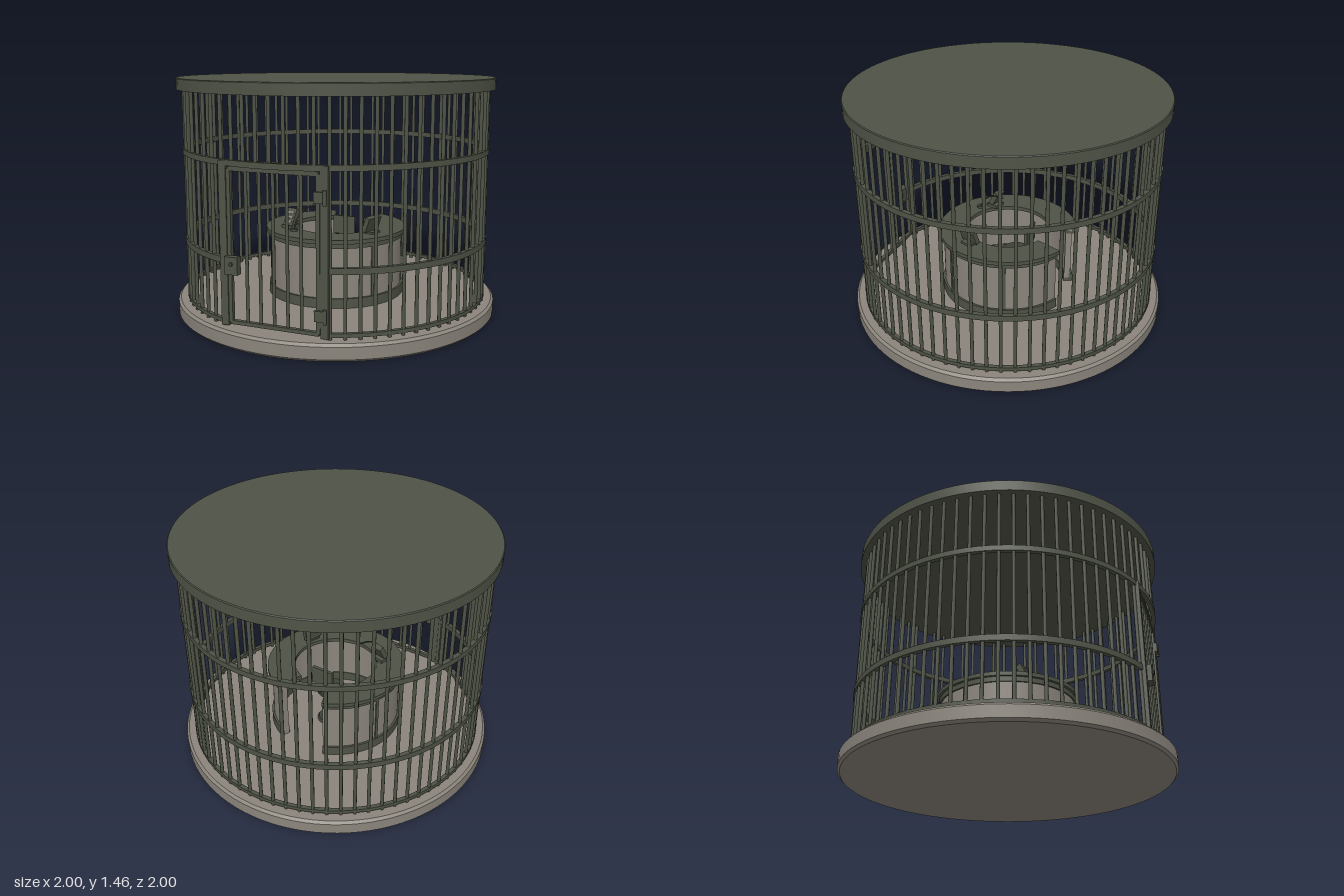
import * as THREE from 'three';
import { toCreasedNormals } from 'three/addons/utils/BufferGeometryUtils.js';

export function createModel() {
  const model = new THREE.Group();
  const material = (name, color) => {
    const m = new THREE.MeshStandardMaterial({ color });
    m.name = name;
    return m;
  };
  const olive = material('olive metal', 0x4f5346);
  const stone = material('warm grey', 0x8b857c);
  const dark = material('dark metal', 0x3d4137);

  const add = (name, geometry, mat, x = 0, y = 0, z = 0, parent = model) => {
    const mesh = new THREE.Mesh(geometry, mat);
    mesh.name = name;
    mesh.position.set(x, y, z);
    parent.add(mesh);
    return mesh;
  };
  const box = (name, w, h, d, mat, x, y, z, parent) =>
    add(name, new THREE.BoxGeometry(w, h, d), mat, x, y, z, parent);
  const lathe = (points, sides = 96) => toCreasedNormals(
    new THREE.LatheGeometry(points.map(p => new THREE.Vector2(...p)), sides), 0.5);
  // Flat ring sector; angles run from the front (+z) towards +x.
  const sector = (name, inner, outer, y0, y1, mat, from, to) => {
    const s = new THREE.Shape();
    s.absarc(0, 0, outer, from - Math.PI / 2, to - Math.PI / 2, false);
    s.absarc(0, 0, inner, to - Math.PI / 2, from - Math.PI / 2, true);
    s.closePath();
    const g = new THREE.ExtrudeGeometry(s, { depth: y1 - y0, bevelEnabled: false, curveSegments: 72 });
    g.rotateX(-Math.PI / 2);
    return add(name, toCreasedNormals(g, 0.5), mat, 0, y0, 0);
  };
  const fullRing = (name, inner, outer, y0, y1, mat) => add(name, lathe([
    [inner, y0], [outer, y0], [outer, y1], [inner, y1], [inner, y0]]), mat);

  // Base and roof
  add('base', lathe([[0, 0], [0.985, 0], [1, 0.015], [1, 0.085], [0.985, 0.1], [0, 0.1]]), stone);
  add('roof', lathe([[0, 1.385], [0.972, 1.385], [0.972, 1.45], [0.967, 1.455], [0, 1.455]]), olive);

  // Cage rings, with the lower two open at the doorway
  const gap = 0.33;
  fullRing('upperRing', 0.918, 0.945, 1.005, 1.038, olive);
  sector('middleRing', 0.918, 0.945, 0.46, 0.495, olive, gap, 2 * Math.PI - gap);
  sector('bottomRing', 0.918, 0.942, 0.115, 0.137, olive, gap, 2 * Math.PI - gap);

  // Cage bars
  const count = 72;
  for (let i = 0; i < count; i++) {
    const a = (i / count) * Math.PI * 2;
    const overDoor = Math.cos(a) > Math.cos(gap);
    const y0 = overDoor ? 1.01 : 0.1, y1 = 1.39;
    add('cageBar', new THREE.CylinderGeometry(0.011, 0.011, y1 - y0, 8, 1, true), olive,
      0.929 * Math.sin(a), (y0 + y1) / 2, 0.929 * Math.cos(a));
  }

  // Doorway and barred door
  const door = new THREE.Group();
  door.name = 'door';
  model.add(door);
  for (const s of [-1, 1]) {
    box('doorPost', 0.045, 0.92, 0.035, olive, s * 0.298, 0.57, 0.887, door);
    box('doorStile', 0.022, 0.86, 0.025, olive, s * 0.262, 0.56, 0.89, door);
  }
  box('lintel', 0.64, 0.028, 0.035, olive, 0, 1.02, 0.887, door);
  box('doorTopRail', 0.53, 0.025, 0.025, olive, 0, 0.99, 0.89, door);
  box('doorBottomRail', 0.53, 0.022, 0.025, olive, 0, 0.13, 0.89, door);
  for (let i = -2; i <= 2; i++) {
    add('doorBar', new THREE.CylinderGeometry(0.01, 0.01, 0.86, 8, 1, true), olive,
      i * 0.081, 0.56, 0.89, door);
  }
  for (const y of [0.235, 0.87]) {
    box('hingePlate', 0.055, 0.06, 0.02, olive, 0.272, y, 0.908, door);
    add('hingePin', new THREE.CylinderGeometry(0.01, 0.01, 0.08, 10), olive, 0.305, y, 0.912, door);
  }
  box('lockCase', 0.08, 0.1, 0.04, olive, -0.24, 0.46, 0.912, door);
  const knob = add('lockKnob', new THREE.CylinderGeometry(0.012, 0.012, 0.01, 12), dark, -0.24, 0.47, 0.934, door);
  knob.rotation.x = Math.PI / 2;

  // Round desk, open at the back
  const open = Math.PI - 0.38;
  sector('deskWall', 0.375, 0.415, 0.1, 0.495, stone, -open, open);
  sector('deskPlinth', 0.37, 0.428, 0.1, 0.16, olive, -open, open);
  sector('deskBand', 0.37, 0.425, 0.465, 0.495, olive, -open, open);
  sector('counter', 0.265, 0.442, 0.495, 0.52, olive, -open, open);
  for (const a of [-1.9, -0.94, 0.94, 1.9]) {
    const strip = box('deskStrip', 0.02, 0.31, 0.012, olive, 0.415 * Math.sin(a), 0.31, 0.415 * Math.cos(a));
    strip.rotation.y = a;
  }

  // Tilted control panel and monitor on the counter
  const panel = new THREE.Group();
  panel.name = 'controlPanel';
  panel.position.set(-0.23, 0.52, 0.19);
  panel.rotation.y = -0.25;
  model.add(panel);
  const face = box('panelBody', 0.07, 0.12, 0.035, olive, 0, 0.058, -0.01, panel);
  face.rotation.x = -0.5;
  for (let i = 0; i < 3; i++) {
    box('panelButtonRow', 0.045, 0.012, 0.006, stone, 0, (i - 1) * 0.03, 0.019, face);
  }
  box('panelFoot', 0.08, 0.02, 0.08, olive, 0, 0.01, 0, panel);

  const monitor = new THREE.Group();
  monitor.name = 'monitor';
  monitor.position.set(0.29, 0.52, 0.14);
  monitor.rotation.y = -1.9;
  model.add(monitor);
  const screen = box('monitorBody', 0.12, 0.095, 0.03, olive, 0, 0.056, 0, monitor);
  screen.rotation.x = -0.35;
  box('monitorFace', 0.1, 0.075, 0.006, dark, 0, 0, 0.016, screen);
  box('monitorFoot', 0.08, 0.012, 0.07, olive, 0, 0.006, 0, monitor);

  // Gooseneck microphone
  const neck = new THREE.CatmullRomCurve3([
    new THREE.Vector3(-0.17, 0.52, 0.27), new THREE.Vector3(-0.165, 0.58, 0.24),
    new THREE.Vector3(-0.15, 0.63, 0.18), new THREE.Vector3(-0.115, 0.65, 0.09)]);
  add('microphoneNeck', new THREE.TubeGeometry(neck, 16, 0.005, 6), dark);
  add('microphoneHead', new THREE.SphereGeometry(0.009, 10, 8), dark, -0.115, 0.65, 0.09);
  add('microphoneFoot', new THREE.CylinderGeometry(0.022, 0.025, 0.012, 16), dark, -0.17, 0.526, 0.27);

  // Chair inside the desk
  const chair = new THREE.Group();
  chair.name = 'chair';
  model.add(chair);
  add('chairSeat', new THREE.CylinderGeometry(0.095, 0.09, 0.03, 24), dark, 0, 0.34, -0.06, chair);
  add('chairColumn', new THREE.CylinderGeometry(0.018, 0.018, 0.23, 12), dark, 0, 0.215, -0.06, chair);
  add('chairFoot', new THREE.CylinderGeometry(0.08, 0.09, 0.015, 24), dark, 0, 0.108, -0.06, chair);
  box('chairBackPost', 0.025, 0.12, 0.012, dark, 0, 0.39, -0.15, chair);
  box('chairBack', 0.15, 0.12, 0.02, olive, 0, 0.485, -0.15, chair);

  return model;
}
